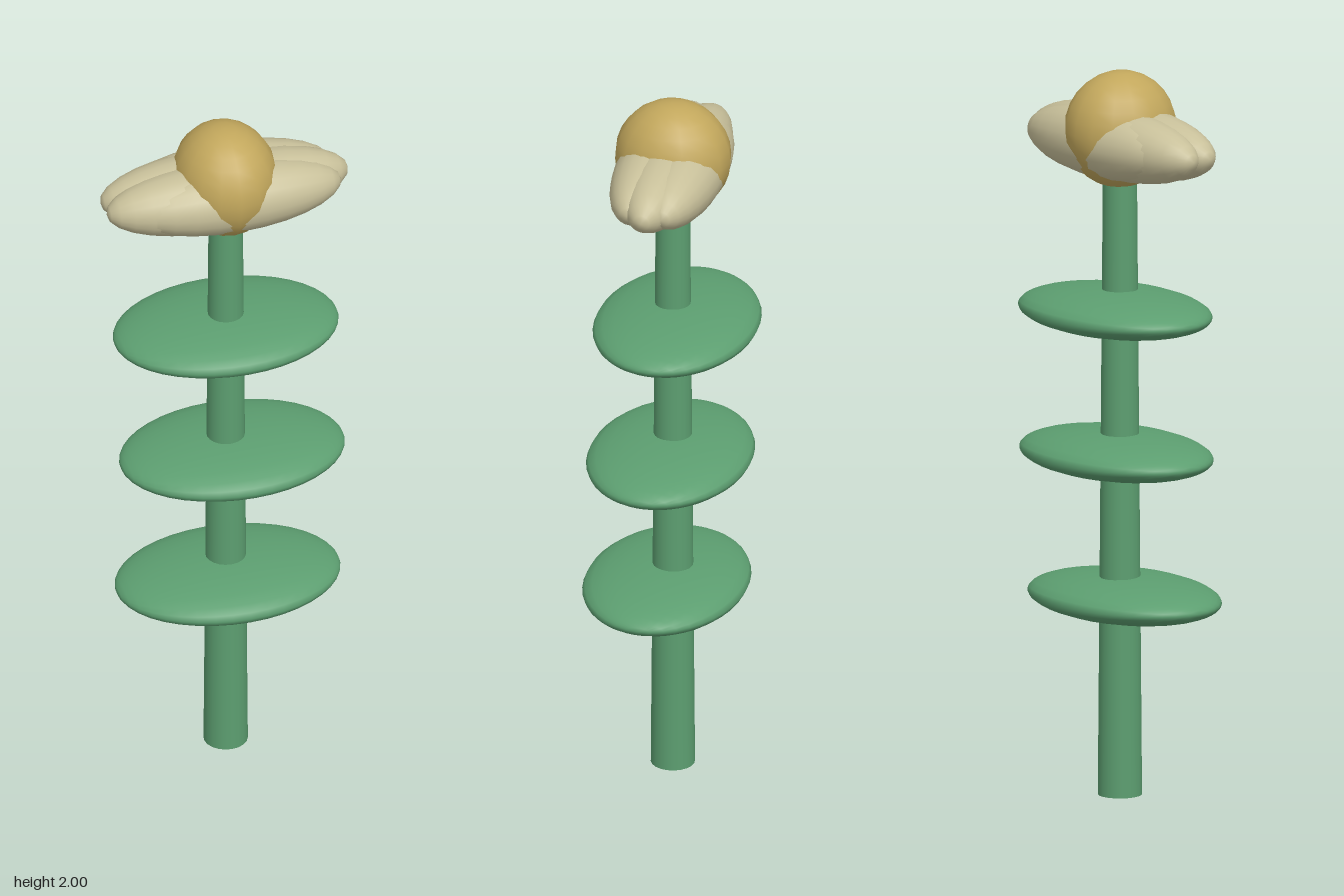
import * as THREE from 'three';

const material = (color) => new THREE.MeshStandardMaterial({ color });

// Ellipsoid with its poles on the x axis
function ellipsoid(name, mat, [rx, ry, rz], [x, y, z], around = 20, along = 14) {
  const geometry = new THREE.SphereGeometry(1, around, along);
  geometry.rotateZ(-Math.PI / 2);
  geometry.scale(rx, ry, rz);
  const mesh = new THREE.Mesh(geometry, mat);
  mesh.name = name;
  mesh.position.set(x, y, z);
  return mesh;
}

export function createModel() {
  const model = new THREE.Group();
  model.name = 'flower';
  const green = material(0x5c9e70);
  const cream = material(0xc8c09a);
  const gold = material(0xc2a75c);

  // Tapered stem
  const stem = new THREE.Mesh(new THREE.CylinderGeometry(0.046, 0.06, 1.76, 20), green);
  stem.name = 'stem';
  stem.position.y = 0.88;
  model.add(stem);

  // Flat leaves, each nudged a little off the stem axis
  const leaves = [[0, 0.545, 0.017], [0.017, 0.94, 0.002], [0.004, 1.338, -0.013]];
  leaves.forEach((position, i) => {
    model.add(ellipsoid(`leaf${i + 1}`, green, [0.312, 0.06, 0.222], position, 24, 20));
  });

  // Ring of five overlapping petals
  const petals = new THREE.Group();
  petals.name = 'petals';
  for (let i = 0; i < 5; i++) {
    const a = (i / 5) * Math.PI * 2;
    const position = [0.05 * Math.cos(a) - 0.005, 1.805, 0.05 * Math.sin(a)];
    petals.add(ellipsoid(`petal${i + 1}`, cream, [0.3, 0.096, 0.1], position));
  }
  model.add(petals);

  // Round flower centre
  const centre = new THREE.Mesh(new THREE.SphereGeometry(0.16, 16, 14), gold);
  centre.name = 'flowerCentre';
  centre.scale.x = 0.9;
  centre.position.set(-0.003, 1.84, 0);
  model.add(centre);

  return model;
}
